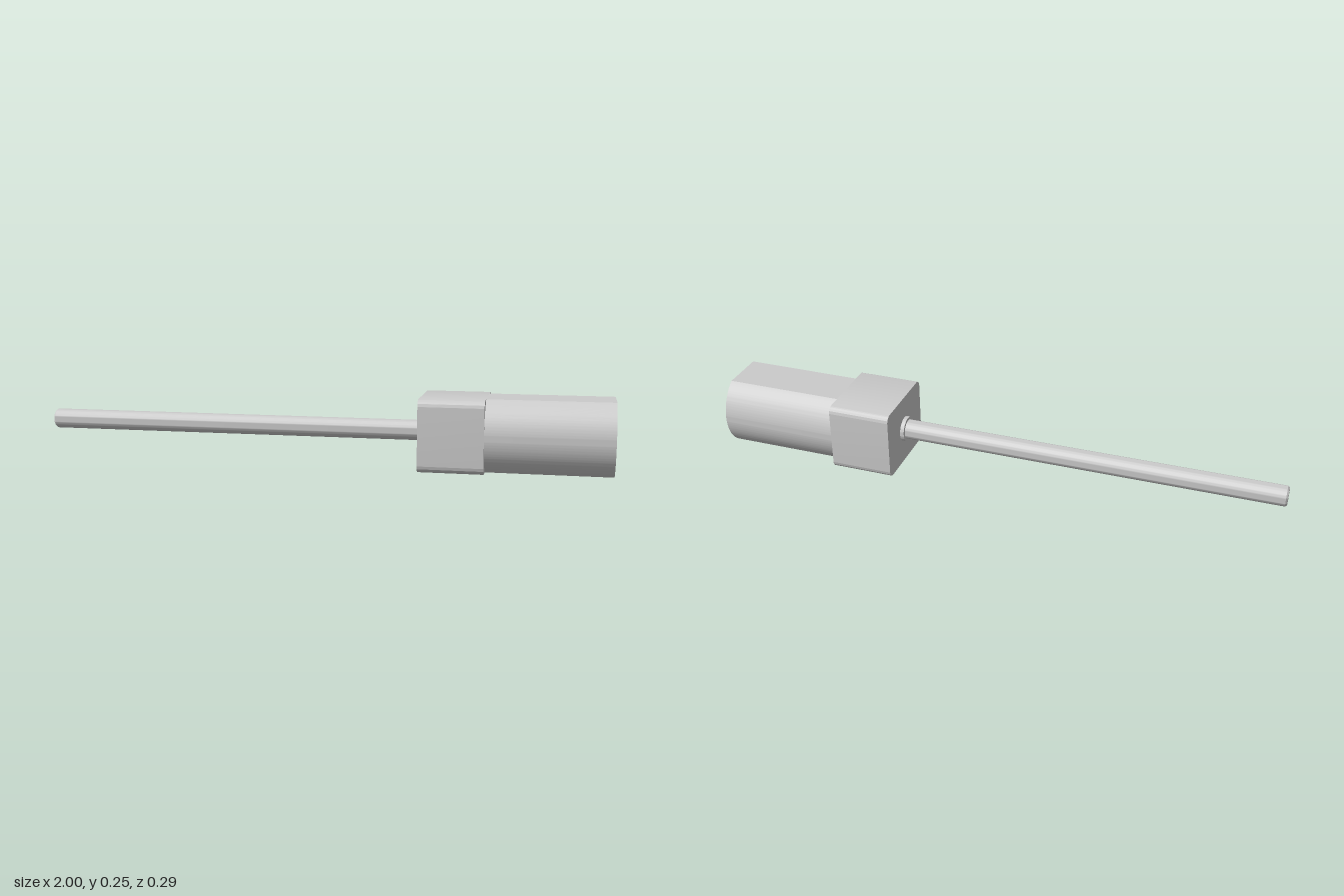
import * as THREE from 'three';
import { toCreasedNormals } from 'three/addons/utils/BufferGeometryUtils.js';

const H = 0.247, HALF = H / 2, R = 0.147;
const BOX_X = 0.357, MOTOR_X = 0.578;

export function createModel() {
  const group = new THREE.Group();
  const material = new THREE.MeshStandardMaterial({ color: 0xcccccc });

  const add = (name, geometry) => {
    const mesh = new THREE.Mesh(toCreasedNormals(geometry, Math.PI / 6), material);
    mesh.name = name;
    mesh.position.y = HALF;
    group.add(mesh);
  };

  // Extrude a cross-section along x between two stations
  const extrudeX = (shape, x0, x1) =>
    new THREE.ExtrudeGeometry(shape, { depth: x1 - x0, bevelEnabled: false, curveSegments: 32 })
      .rotateY(Math.PI / 2)
      .translate(x0, 0, 0);

  // Turn a [radius, x] profile about the x axis
  const turnX = (profile) =>
    new THREE.LatheGeometry(profile.map(([r, x]) => new THREE.Vector2(r, x)), 48)
      .rotateZ(-Math.PI / 2);

  // Gearbox: block with rounded long edges
  const c = 0.025, w = R - c, h = HALF - c;
  const block = new THREE.Shape();
  block.absarc(w, h, c, 0, Math.PI / 2);
  block.absarc(-w, h, c, Math.PI / 2, Math.PI);
  block.absarc(-w, -h, c, Math.PI, Math.PI * 1.5);
  block.absarc(w, -h, c, Math.PI * 1.5, Math.PI * 2);
  add('gearbox', extrudeX(block, BOX_X, MOTOR_X));

  // Motor can: cylinder with flats on top and bottom
  const a = Math.asin(HALF / R);
  const can = new THREE.Shape();
  can.absarc(0, 0, R, -a, a);
  can.absarc(0, 0, R, Math.PI - a, Math.PI + a);
  add('motorCan', extrudeX(can, MOTOR_X, 1));

  // Raised collar where the shaft leaves the gearbox
  add('collar', turnX([[0, 0.343], [0.045, 0.343], [0.045, BOX_X]]));

  // Long output shaft with a chamfered tip
  add('shaft', turnX([[0, -1], [0.03, -1], [0.035, -0.994], [0.035, BOX_X]]));

  return group;
}
